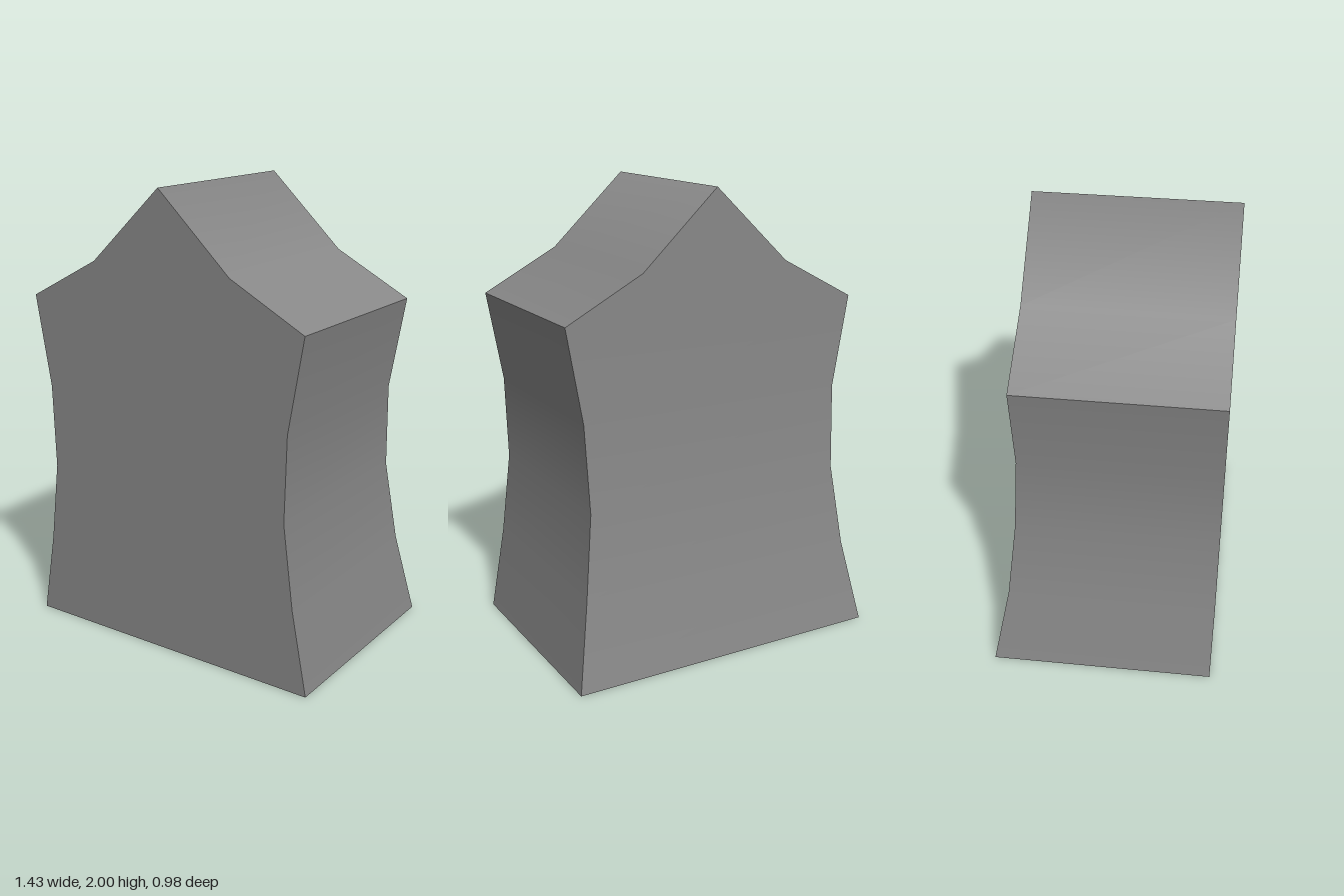
import * as THREE from 'three';

// Right half of the outline, base to ridge: half width, height, back depth, front depth
const profile = [
  [0.713, 0, -0.489, 0.486], [0.645, 0.37, -0.418, 0.489], [0.6, 0.73, -0.378, 0.489],
  [0.61, 1.1, -0.352, 0.489], [0.68, 1.5, -0.352, 0.489], [0.34, 1.68, -0.352, 0.489],
  [0, 2, -0.352, 0.489],
];
const EAVE = 4;

const frontPoint = ([x, y, , front], s) => [s * x, y, front];
const backPoint = ([x, y, back], s) => [s * x, y, back];
// Row running from the front edge to the back edge
const depthRow = (p, s) => [frontPoint(p, s), backPoint(p, s)];

// Smooth band through rows of [left, right] points
function band(rows) {
  const index = [];
  for (let a = 0; a < rows.length * 2 - 2; a += 2) {
    index.push(a, a + 1, a + 3);
    const [p, q] = rows[a / 2 + 1];
    if (p.some((v, k) => v !== q[k])) index.push(a, a + 3, a + 2);
  }
  const geometry = new THREE.BufferGeometry();
  geometry.setAttribute('position', new THREE.Float32BufferAttribute(rows.flat(2), 3));
  geometry.setIndex(index);
  geometry.computeVertexNormals();

  // Both ends of a row share one normal, so the shading stays even along it
  const normals = geometry.attributes.normal;
  const left = new THREE.Vector3();
  const right = new THREE.Vector3();
  for (let a = 0; a < normals.count; a += 2) {
    left.fromBufferAttribute(normals, a);
    right.fromBufferAttribute(normals, a + 1);
    left.add(right).normalize();
    normals.setXYZ(a, left.x, left.y, left.z);
    normals.setXYZ(a + 1, left.x, left.y, left.z);
  }
  return geometry;
}

export function createModel() {
  const group = new THREE.Group();
  group.name = 'house';
  const material = new THREE.MeshStandardMaterial({ color: 0x888888 });
  const add = (name, rows) => {
    const mesh = new THREE.Mesh(band(rows), material);
    mesh.name = name;
    group.add(mesh);
  };

  // Gable faces
  add('frontWall', profile.map((p) => [frontPoint(p, -1), frontPoint(p, 1)]));
  add('backWall', profile.map((p) => [backPoint(p, 1), backPoint(p, -1)]));

  // Pinched side walls
  const wall = profile.slice(0, EAVE + 1);
  add('leftWall', wall.map((p) => depthRow(p, 1)));
  add('rightWall', wall.map((p) => depthRow(p, -1)).reverse());

  // Sagging roof, smooth over the ridge
  const slope = profile.slice(EAVE);
  add('roof', [
    ...slope.map((p) => depthRow(p, 1)),
    ...slope.slice(0, -1).reverse().map((p) => depthRow(p, -1)),
  ]);

  // Base
  add('floor', [depthRow(profile[0], -1), depthRow(profile[0], 1)]);
  return group;
}
